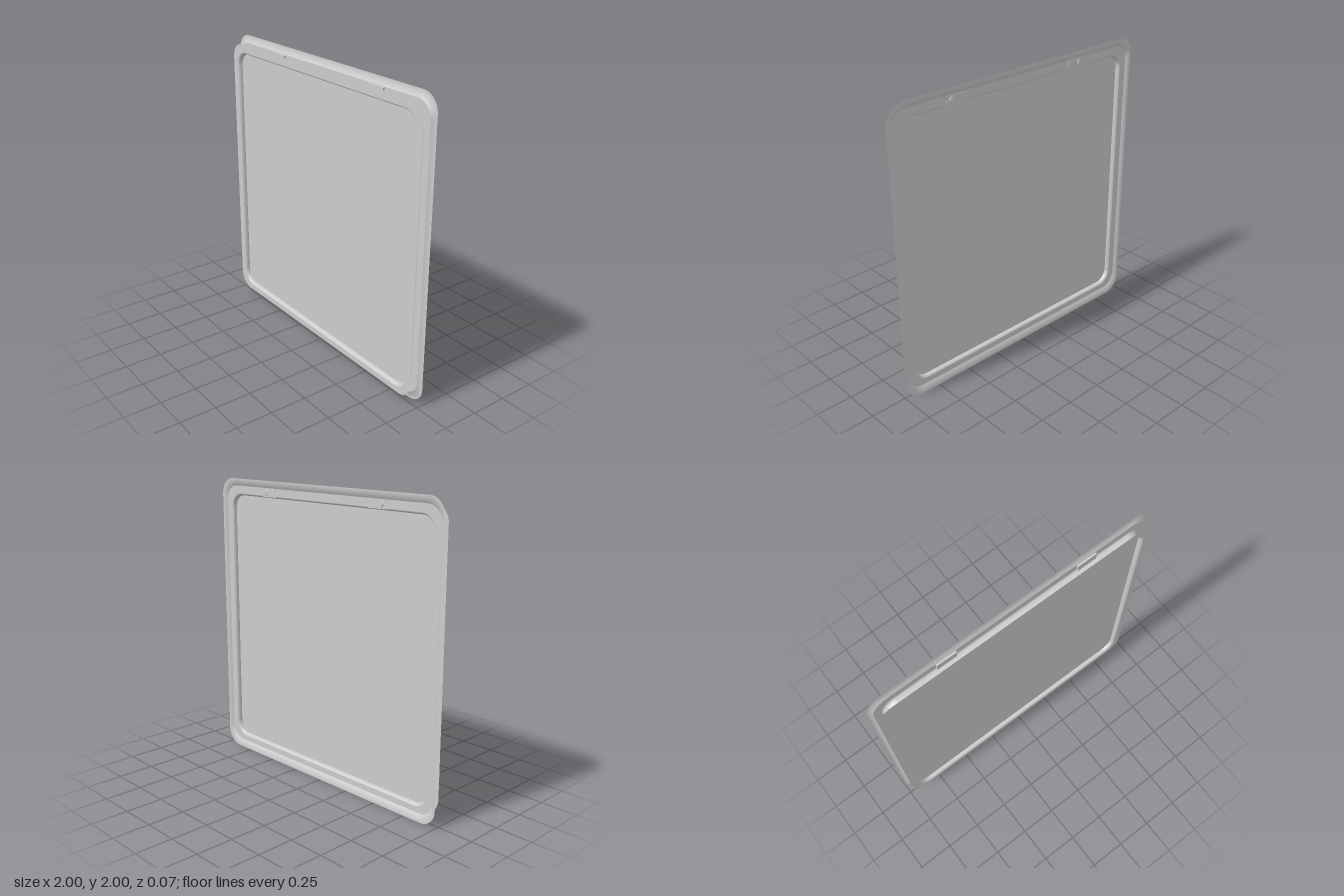
import * as THREE from 'three';

const material = new THREE.MeshStandardMaterial({ color: 0xcccccc, side: THREE.DoubleSide });
const CORNER_STEPS = 12;

// Rounded rectangle loop, counter-clockwise seen from the front
function loop({ hx, y0, y1, r, z }) {
  const points = [];
  const centres = [[hx - r, y1 - r], [r - hx, y1 - r], [r - hx, y0 + r], [hx - r, y0 + r]];
  centres.forEach(([cx, cy], k) => {
    for (let i = 0; i <= CORNER_STEPS; i++) {
      const a = (k + i / CORNER_STEPS) * Math.PI / 2;
      points.push(new THREE.Vector3(cx + r * Math.cos(a), cy + r * Math.sin(a), z));
    }
  });
  return points;
}

// Blend between two loop descriptions
function mix(a, b, t) {
  const out = {};
  for (const key of Object.keys(a)) out[key] = a[key] + (b[key] - a[key]) * t;
  return out;
}

// Skin a row of loops into one smooth band
function band(name, sections) {
  const rows = sections.map(loop);
  const n = rows[0].length;
  const index = [];
  for (let i = 0; i < rows.length - 1; i++) {
    for (let j = 0; j < n; j++) {
      const k = (j + 1) % n;
      const a = i * n + j, b = i * n + k, c = a + n, d = b + n;
      index.push(a, b, c, b, d, c);
    }
  }
  const geometry = new THREE.BufferGeometry().setFromPoints(rows.flat());
  geometry.setIndex(index);
  geometry.computeVertexNormals();
  return mesh(name, geometry);
}

function mesh(name, geometry) {
  const m = new THREE.Mesh(geometry, material);
  m.name = name;
  return m;
}

export function createModel() {
  const model = new THREE.Group();
  model.name = 'framedPanel';

  // Key outlines of the thin frame section, from front to back
  const frontOuter = { hx: 0.967, y0: 0.05, y1: 1.95, r: 0.105, z: 0.037 };
  const frontInner = { hx: 0.92, y0: 0.088, y1: 1.897, r: 0.1, z: 0.037 };
  const throat = { hx: 0.905, y0: 0.103, y1: 1.882, r: 0.09, z: 0.008 };
  const backInner = { ...frontInner, z: -0.02 };
  const backOuter = { ...frontOuter, z: -0.02 };
  const lipEdge = { hx: 1, y0: 0, y1: 2, r: 0.115, z: -0.037 };

  // Flat front rim and flat back rim
  model.add(band('frontRim', [frontOuter, frontInner]));
  model.add(band('backRim', [backInner, backOuter]));

  // Round channel wall joining the two rims
  const channel = [];
  for (let i = 0; i <= 12; i++) {
    const t = i / 12;
    const section = mix(frontInner, throat, Math.sin(t * Math.PI));
    section.z = 0.0085 + 0.0285 * Math.cos(t * Math.PI);
    channel.push(section);
  }
  model.add(band('channelWall', channel));

  // Outer lip, sweeping back and flattening towards its edge
  const lip = [];
  for (let i = 0; i <= 8; i++) {
    const t = i / 8;
    const section = mix(backOuter, lipEdge, t);
    section.z = -0.037 + 0.017 * (1 - t) ** 2;
    lip.push(section);
  }
  model.add(band('outerLip', lip));

  // Flat centre panel
  const shape = new THREE.Shape(loop(throat).map(p => new THREE.Vector2(p.x, p.y)));
  const panel = mesh('panel', new THREE.ShapeGeometry(shape));
  panel.position.z = throat.z;
  model.add(panel);

  // Two mounting clips in the top channel, each with a screw at its outer end
  for (const [side, x] of [['right', -0.475], ['left', 0.515]]) {
    const clip = new THREE.Group();
    clip.name = side + 'Clip';
    clip.position.set(x, 1.918, -0.015);
    clip.add(mesh('clipPlate', new THREE.BoxGeometry(0.135, 0.055, 0.014)));

    const screwX = Math.sign(x) * 0.032;
    const head = mesh('screwHead', new THREE.CylinderGeometry(0.017, 0.02, 0.004, 20));
    head.rotation.x = -Math.PI / 2;
    head.position.set(screwX, 0, -0.009);
    clip.add(head);
    const stud = mesh('screwCentre', new THREE.CylinderGeometry(0.008, 0.008, 0.003, 12));
    stud.rotation.x = -Math.PI / 2;
    stud.position.set(screwX, 0, -0.012);
    clip.add(stud);
    model.add(clip);
  }

  return model;
}
